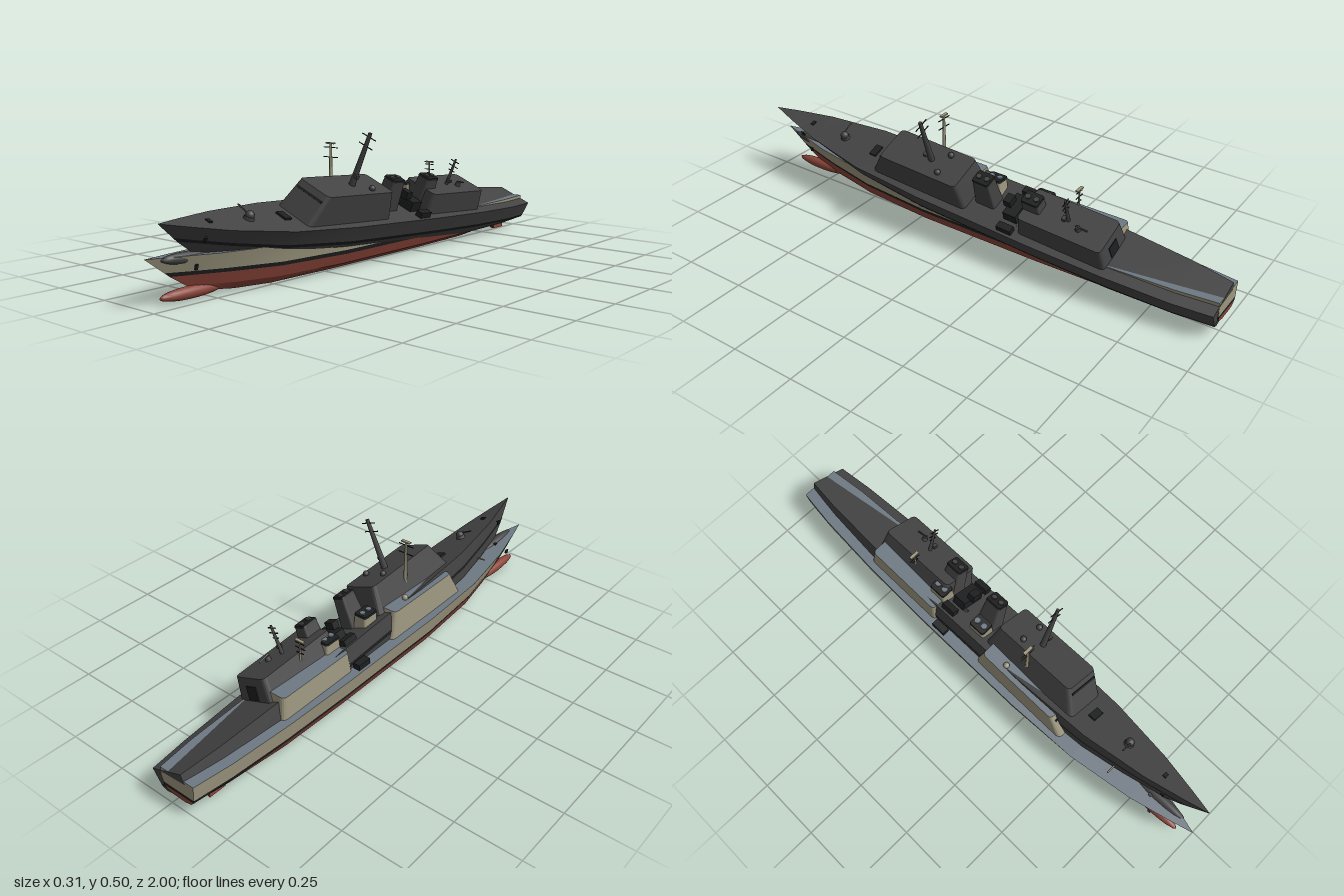
import * as THREE from 'three';

const mat = (name, color, side = THREE.FrontSide) => new THREE.MeshStandardMaterial({ name, color, side });

// Hull stations, bow to stern: z, then half width and height of each long edge
// (deck, stripe top, stripe bottom, chine, bottom)
const STATIONS = [
  [1.0, 0, .16, 0, .105, 0, .09, 0, .05, 0, .03],
  [.9, .028, .156, .021, .1, .019, .086, .013, .045, .006, .022],
  [.75, .065, .15, .05, .093, .046, .079, .035, .037, .012, .01],
  [.5, .103, .143, .086, .083, .08, .069, .065, .03, .024, .002],
  [.2, .115, .14, .105, .078, .1, .063, .083, .026, .03, 0],
  [-.3, .115, .138, .106, .076, .101, .061, .084, .026, .03, 0],
  [-.6, .108, .136, .1, .074, .096, .06, .08, .028, .028, .003],
  [-.85, .094, .135, .087, .074, .083, .06, .066, .038, .025, .022],
  [-1, .076, .135, .071, .075, .068, .063, .055, .05, .03, .045],
];
const STEM = [1, .925, .905, .84, .81]; // where each edge meets the raked stem

// Long edge of the hull on one side
function edge(row, side) {
  return STATIONS.map((s) => {
    const z = s[0] > .5 ? .5 + (s[0] - .5) * (STEM[row] - .5) / .5 : s[0];
    return [side * s[1 + row * 2], s[2 + row * 2], z];
  });
}

// Surface between two lines of points
function strip(a, b) {
  const pos = [], idx = [];
  a.forEach((p, i) => {
    pos.push(...p, ...b[i]);
    if (i) idx.push(2 * i - 2, 2 * i - 1, 2 * i, 2 * i - 1, 2 * i + 1, 2 * i);
  });
  const g = new THREE.BufferGeometry();
  g.setAttribute('position', new THREE.Float32BufferAttribute(pos, 3));
  g.setIndex(idx);
  g.computeVertexNormals();
  return g;
}

// Tapered block with rounded corners: base from z0 to z1, top from t0 to t1
function block(w, z0, z1, t0, t1, taper, y, h, r) {
  const s = new THREE.Shape(), a = w / 2, l = (z1 - z0) / 2;
  s.moveTo(-a + r, -l).lineTo(a - r, -l).quadraticCurveTo(a, -l, a, -l + r);
  s.lineTo(a, l - r).quadraticCurveTo(a, l, a - r, l);
  s.lineTo(-a + r, l).quadraticCurveTo(-a, l, -a, l - r);
  s.lineTo(-a, -l + r).quadraticCurveTo(-a, -l, -a + r, -l);
  const g = new THREE.ExtrudeGeometry(s, { depth: h, bevelEnabled: false, curveSegments: 4 });
  g.rotateX(-Math.PI / 2);
  const p = g.attributes.position;
  for (let i = 0; i < p.count; i++) {
    const u = (p.getZ(i) + l) / (2 * l), top = p.getY(i) > h / 2;
    p.setXYZ(i, p.getX(i) * (top ? taper : 1), p.getY(i) + y,
      top ? t0 + (t1 - t0) * u : z0 + (z1 - z0) * u);
  }
  g.computeVertexNormals();
  return g;
}

function buildShip(m, mastR, mastCap) {
  const ship = new THREE.Group();
  const add = (name, geo, material, x = 0, y = 0, z = 0, parent = ship) => {
    const mesh = new THREE.Mesh(geo, material);
    mesh.name = name;
    mesh.position.set(x, y, z);
    parent.add(mesh);
    return mesh;
  };
  const box = (w, h, d) => new THREE.BoxGeometry(w, h, d);
  const cyl = (a, b, h, n = 12) => new THREE.CylinderGeometry(a, b, h, n);

  // Hull bands on both sides, with the matching transom panels
  const bands = [['upperHull', m.paint], ['waterlineStripe', m.black], ['lowerHull', m.red], ['bilge', m.red]];
  bands.forEach(([name, material], i) => {
    add(name + 'Left', strip(edge(i, 1), edge(i + 1, 1)), material);
    add(name + 'Right', strip(edge(i + 1, -1), edge(i, -1)), material);
    const end = (row) => [edge(row, 1).at(-1), edge(row, -1).at(-1)];
    add(name + 'Transom', strip(end(i), end(i + 1)), material);
  });
  add('hullBottom', strip(edge(4, 1), edge(4, -1)), m.red);
  add('deck', strip(edge(0, -1), edge(0, 1)), m.deck);

  // Bulb under the bow
  const bulb = add('bowBulb', new THREE.SphereGeometry(1, 16, 12), m.red, 0, .028, .82);
  bulb.scale.set(.021, .021, .128);

  // Rudders, propellers and anchors
  for (const s of [-1, 1]) {
    add('rudder', box(.008, .036, .07), m.red, s * .035, .02, -.875);
    const shaft = add('propellerShaft', cyl(.004, .004, .16, 8), m.red, s * .035, .018, -.74);
    shaft.rotation.x = Math.PI / 2;
    const anchor = add('anchor', box(.006, .018, .012), m.black, s * .043, .115, .835);
    anchor.rotation.set(0, s * .2, -s * .25);
  }

  // Deckhouses
  add('forwardDeckhouse', block(.17, -.43, .015, -.365, -.015, .88, .13, .116, .022)
    .rotateY(Math.PI), [m.deck, m.paint]);
  add('aftDeckhouse', block(.166, -.6, -.24, -.585, -.25, .9, .13, .09, .02), [m.deck, m.paint]);
  add('bridgeWindows', box(.125, .009, .004), m.black, 0, .222, .379).rotation.x = -.51;
  add('hangarDoor', box(.05, .05, .006), m.black, 0, .165, -.594).rotation.x = .16;

  // Funnels with twin exhausts
  for (const z of [-.07, -.28]) {
    add('funnel', block(.066, z - .044, z + .044, z - .032, z + .036, .8, .13, .128, .012), [m.black, m.paint]);
    add('funnelCap', block(.056, z - .034, z + .038, z - .032, z + .036, .95, .256, .008, .01), m.black);
    for (const d of [-.015, .019])
      add('exhaust', cyl(.011, .011, .01), m.deck, 0, .264, z + d);
  }

  // Equipment between the funnels
  add('midDeckhouse', box(.1, .045, .055), m.black, 0, .155, -.195);
  add('launcher', box(.04, .03, .03), m.black, 0, .19, -.17);
  for (const s of [-1, 1]) add('sideLocker', box(.028, .025, .06), m.black, s * .09, .148, -.2);

  // Foredeck gun and hatch
  add('gunBase', cyl(.017, .02, .014), m.paint, 0, .15, .63);
  add('gunTurret', new THREE.SphereGeometry(.016, 12, 8), m.paint, 0, .16, .63);
  const barrel = add('gunBarrel', cyl(.003, .003, .06, 6), m.paint, -.028, .168, .637);
  barrel.rotation.z = Math.PI / 2 - .1;
  add('foredeckHatch', box(.05, .008, .03), m.black, 0, .146, .47);
  add('anchorWinch', box(.02, .01, .014), m.black, 0, .152, .8);

  // Roof domes and aft gun
  for (const s of [-1, 1])
    add('antennaDome', new THREE.SphereGeometry(.012, 12, 8), m.paint, s * .045, .252, .11);
  add('aftGunMount', cyl(.009, .012, .02), m.paint, .02, .226, -.47);
  add('aftGunBarrel', cyl(.003, .003, .045, 6), m.paint, .02, .236, -.485).rotation.x = 1.4;

  // Masts with yards, placed on the deckhouse roofs
  const mast = (name, z, base, h, r, yards) => {
    const g = new THREE.Group();
    g.name = name;
    g.position.set(0, base, z);
    ship.add(g);
    add('pole', cyl(r, r * 1.8, h, 8), m.paint, 0, h / 2, 0, g);
    for (const [drop, w] of yards) add('yard', box(w, .003, .003), m.black, 0, h - drop, 0, g);
    add('radar', box(.018, .012, .014), m.paint, .012, h * .2, .008, g);
    if (mastCap) add('mastCap', box(.038, .005, .012), m.paint, 0, h, 0, g);
  };
  mast('mainMast', .17, .244, .205, mastR, [[.015, .066], [.05, .066]]);
  mast('aftMast', -.42, .218, .112, mastR * .6, [[.01, .04], [.03, .045], [.05, .03]]);
  return ship;
}

export function createModel() {
  const model = new THREE.Group();
  const black = mat('black', 0x1e1f20);
  const dark = mat('darkGrey', 0x434343);

  // Upright painted ship
  const painted = buildShip({
    paint: mat('beige', 0x9c967e), deck: mat('deckGrey', 0x6e7983), red: mat('hullRed', 0x8b4539), black,
  }, .0045, true);
  painted.name = 'paintedShip';
  painted.position.x = -.04;

  // Dark ship, heeled over and raised at the bow
  const darkShip = new THREE.Group();
  darkShip.name = 'darkShip';
  const body = buildShip({ paint: dark, deck: dark, red: dark, black }, .007, false);
  body.name = 'darkShipBody';
  body.position.y = -.14;
  darkShip.add(body);
  darkShip.position.set(.012, .197, -.003);
  darkShip.rotation.set(-.06, .004, -.385);

  model.add(painted, darkShip);
  return model;
}
